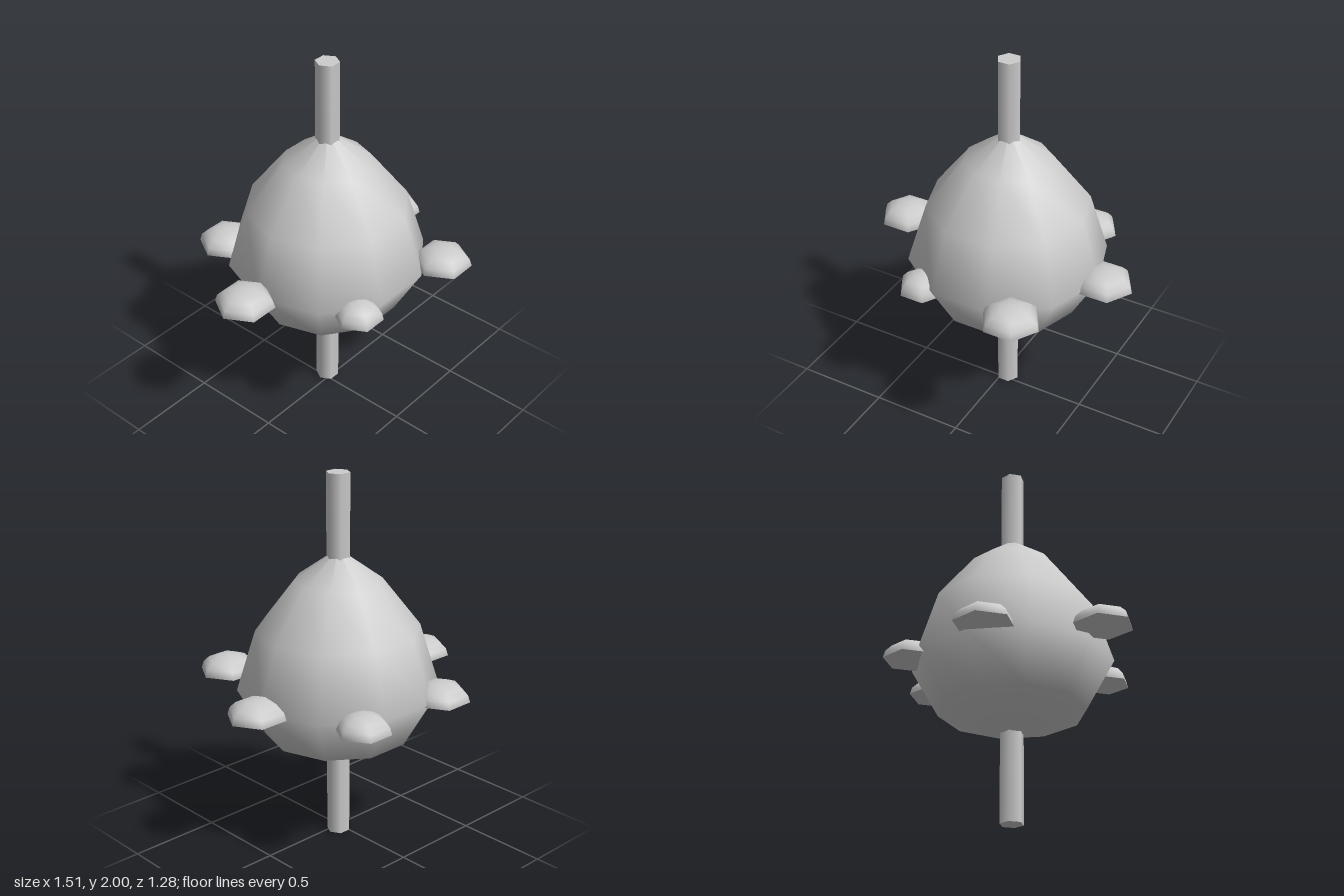
import * as THREE from 'three';

export function createModel() {
  const model = new THREE.Group();
  const grey = new THREE.MeshStandardMaterial({ color: 0xcccccc });
  const axisX = 0.03, axisZ = -0.03;

  function add(geometry, name, parent, x, y, z) {
    const mesh = new THREE.Mesh(geometry, grey);
    mesh.name = name;
    mesh.position.set(x, y, z);
    parent.add(mesh);
    return mesh;
  }

  // ten-sided pear-shaped body, smooth shaded
  const profile = [
    [0, 0.455], [0.388, 0.595], [0.535, 0.855],
    [0.433, 1.18], [0.231, 1.44], [0, 1.605],
  ].map(([r, y]) => new THREE.Vector2(r, y));
  add(new THREE.LatheGeometry(profile, 10, Math.PI / 2), 'body', model, axisX, 0, axisZ);

  // six-sided pole running through the body
  const poleGeometry = new THREE.CylinderGeometry(0.063, 0.063, 2, 6, 1, false, Math.PI / 2);
  add(poleGeometry, 'pole', model, axisX, 1, axisZ);

  // ring of low domes with flat undersides: x, base y, z, radius
  const domes = [
    [-0.60, 0.875, -0.035, 0.157],
    [0.595, 0.842, -0.035, 0.157],
    [0.34, 0.87, 0.503, 0.157],
    [-0.235, 0.803, 0.407, 0.13],
    [0.30, 0.822, -0.494, 0.146],
    [-0.242, 0.842, -0.508, 0.158],
  ];
  domes.forEach(([x, y, z, r], i) => {
    const dome = new THREE.Group();
    dome.name = 'dome' + (i + 1);
    dome.position.set(x, y, z);
    const shell = new THREE.SphereGeometry(r, 6, 4, 0, Math.PI * 2, 0, Math.PI / 2);
    shell.scale(1, 0.1 / r, 1);
    add(shell, 'domeTop', dome, 0, 0, 0);
    add(new THREE.CircleGeometry(r, 6).rotateX(Math.PI / 2), 'domeUnderside', dome, 0, 0, 0);
    model.add(dome);
  });

  return model;
}
